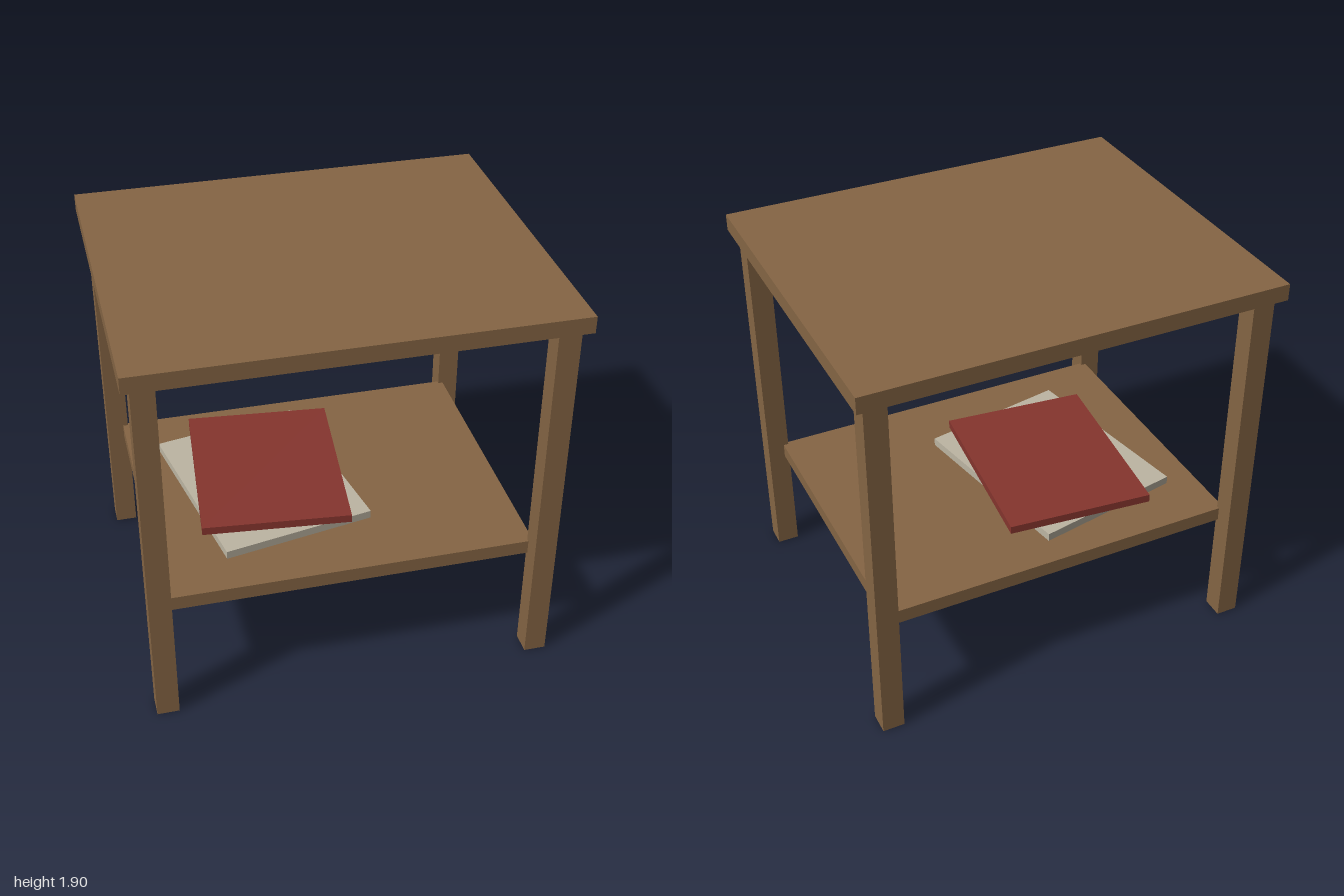
import * as THREE from 'three';

const material = (name, color) => {
  const m = new THREE.MeshStandardMaterial({ color });
  m.name = name;
  return m;
};

export function createModel() {
  const wood = material('brown wood', 0x856544);
  const red = material('red cover', 0x86352e);
  const cream = material('cream cover', 0xbdb5a3);

  const group = new THREE.Group();
  group.name = 'sideTable';

  // Box standing on height y, turned about the vertical axis
  const slab = (name, mat, [w, h, d], [x, y, z], turn = 0) => {
    const mesh = new THREE.Mesh(new THREE.BoxGeometry(w, h, d), mat);
    mesh.name = name;
    mesh.position.set(x, y + h / 2, z);
    mesh.rotation.y = turn;
    group.add(mesh);
  };

  // Table top and lower shelf
  slab('tableTop', wood, [2, 0.08, 1.675], [0, 1.82, 0]);
  slab('shelf', wood, [1.76, 0.07, 1.42], [0, 0.55, 0]);

  // Four square legs
  for (const [sx, side] of [[1, 'Left'], [-1, 'Right']]) {
    for (const [sz, end] of [[1, 'front'], [-1, 'back']]) {
      slab(`${end}${side}Leg`, wood, [0.105, 1.82, 0.105], [sx * 0.908, 0, sz * 0.746]);
    }
  }

  // Two books lying askew on the shelf
  slab('lowerBook', cream, [0.743, 0.04, 0.947], [-0.275, 0.62, -0.035], 0.19);
  slab('upperBook', red, [0.713, 0.04, 0.914], [-0.24, 0.66, -0.07], -0.098);

  return group;
}
